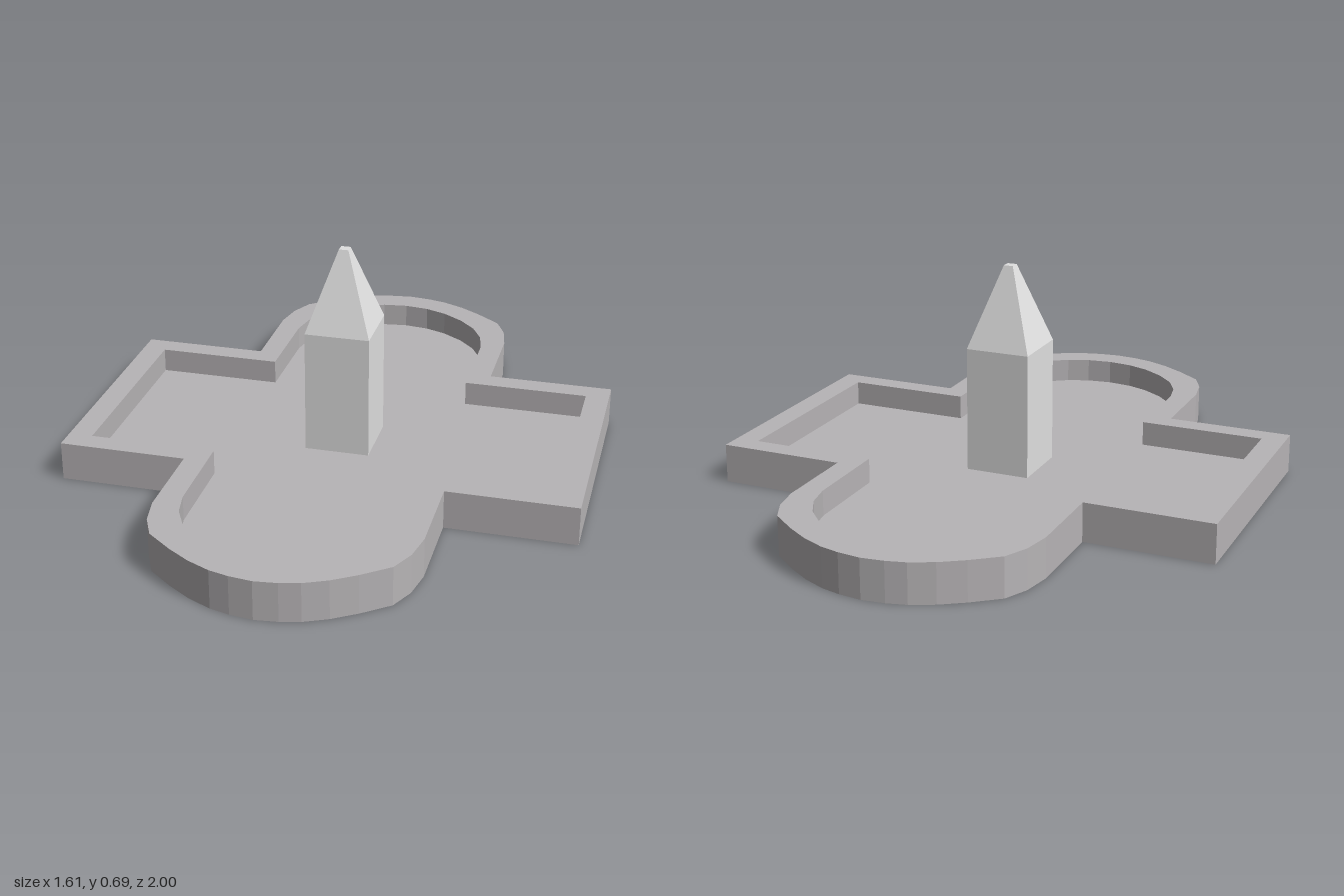
import * as THREE from 'three';

const FLOOR = 0.045, RIM = 0.123;

// Quarter outlines (x, z), from the end of the round lobe to the side of the square arm
const OUTER = [[0, 1], [0.07, 0.992], [0.13, 0.977], [0.2, 0.945], [0.27, 0.9], [0.35, 0.838], [0.385, 0.765],
  [0.402, 0.675], [0.402, 0.4], [0.803, 0.4]];
const INNER = [[0, 0.912], [0.08, 0.902], [0.15, 0.875], [0.22, 0.828], [0.275, 0.77], [0.312, 0.7], [0.328, 0.62],
  [0.33, 0.33], [0.728, 0.33]];

// Mirror a quarter outline into the full closed loop
function outline(quarter) {
  const half = [...quarter, ...quarter.slice().reverse().map(([x, z]) => [x, -z])];
  const other = half.slice(1, -1).reverse().map(([x, z]) => [-x, z]);
  return [...half, ...other].map(([x, z]) => new THREE.Vector2(x, z));
}

// Extrude a plan shape upward between two heights
function slab(shape, y0, y1) {
  const geometry = new THREE.ExtrudeGeometry(shape, { depth: y1 - y0, bevelEnabled: false });
  return geometry.rotateX(-Math.PI / 2).translate(0, y0, 0);
}

// Square prism with different bottom and top half-widths
function squarePrism(bottom, top, y0, y1) {
  const geometry = new THREE.CylinderGeometry(top * Math.SQRT2, bottom * Math.SQRT2, y1 - y0, 4, 1);
  return geometry.rotateY(Math.PI / 4).translate(0, (y0 + y1) / 2, 0);
}

export function createModel() {
  const model = new THREE.Group();
  model.name = 'obeliskBasin';
  const basinStone = new THREE.MeshStandardMaterial({ color: 0xb7b4b6, flatShading: true });
  basinStone.name = 'basin stone';
  const paleStone = new THREE.MeshStandardMaterial({ color: 0xe0e0e0, flatShading: true });
  paleStone.name = 'pale stone';

  const add = (name, geometry, material) => {
    const mesh = new THREE.Mesh(geometry, material);
    mesh.name = name;
    model.add(mesh);
  };

  // Basin: solid floor inside a raised rim (the hole winds opposite to the outline)
  const rimShape = new THREE.Shape(outline(OUTER));
  rimShape.holes.push(new THREE.Path(outline(INNER).reverse()));
  add('basinRim', slab(rimShape, 0, RIM), basinStone);
  add('basinFloor', slab(new THREE.Shape(outline(INNER)), 0, FLOOR), basinStone);

  // Obelisk: square shaft and tapered, blunt tip
  add('obeliskShaft', squarePrism(0.102, 0.102, FLOOR, 0.44), paleStone);
  add('obeliskTip', squarePrism(0.102, 0.015, 0.44, 0.695), paleStone);
  return model;
}
